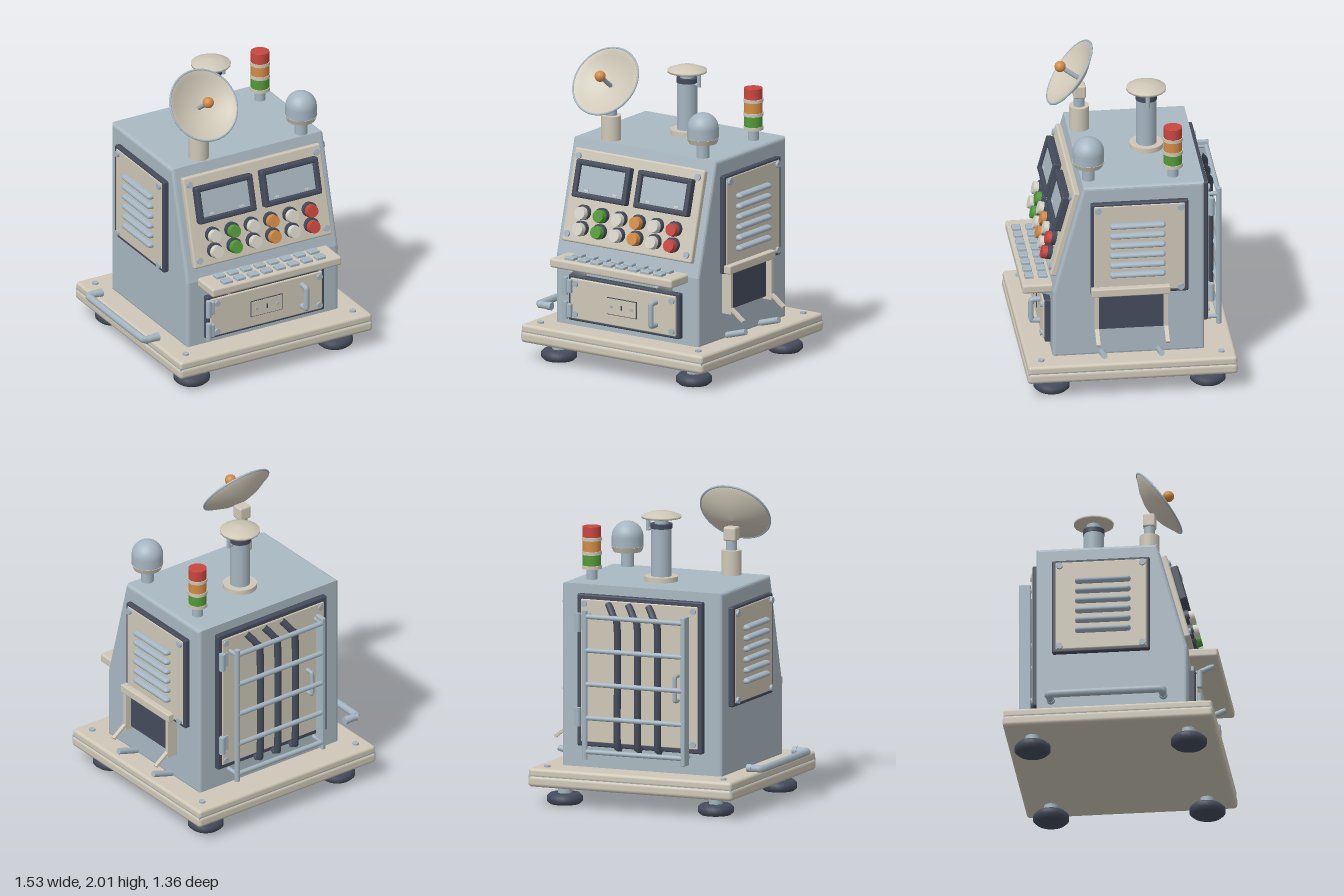
import * as THREE from 'three';
import { RoundedBoxGeometry } from 'three/addons/geometries/RoundedBoxGeometry.js';

const paint = (name, color, side = THREE.FrontSide) => {
  const m = new THREE.MeshStandardMaterial({ color, side });
  m.name = name;
  return m;
};
const V = (x, y, z) => new THREE.Vector3(x, y, z);

export function createModel() {
  const body = paint('blueGrey', 0xaab8c2);
  const steel = paint('steel', 0xa5b5c1);
  const cream = paint('cream', 0xcfc8b8, THREE.DoubleSide);
  const dark = paint('darkSlate', 0x444b5b);
  const white = paint('buttonWhite', 0xd6d3c9);
  const red = paint('red', 0xc9463f);
  const orange = paint('orange', 0xd28b45);
  const green = paint('green', 0x529b38);
  const CX = 0.045;

  const model = new THREE.Group();
  model.name = 'controlMachine';
  const group = (name, x = 0, y = 0, z = 0, parent = model) => {
    const g = new THREE.Group();
    g.name = name;
    g.position.set(x, y, z);
    parent.add(g);
    return g;
  };
  const add = (name, geo, mat, x, y, z, parent) => {
    const m = new THREE.Mesh(geo, mat);
    m.name = name;
    m.position.set(x, y, z);
    parent.add(m);
    return m;
  };
  const box = (name, mat, w, h, d, x, y, z, p = model, r = 0) =>
    add(name, r ? new RoundedBoxGeometry(w, h, d, 2, r) : new THREE.BoxGeometry(w, h, d), mat, x, y, z, p);
  // Cylinder along the given axis
  const cyl = (name, mat, r, h, x, y, z, p = model, axis = 'y', r2 = r, n = 24) => {
    const g = new THREE.CylinderGeometry(r, r2, h, n);
    if (axis === 'z') g.rotateX(Math.PI / 2);
    if (axis === 'x') g.rotateZ(-Math.PI / 2);
    return add(name, g, mat, x, y, z, p);
  };
  // Round bar between two points
  const rod = (name, mat, r, a, b, p = model) => {
    const m = cyl(name, mat, r, a.distanceTo(b), 0, 0, 0, p, 'y', r, 12);
    m.position.copy(a).add(b).multiplyScalar(0.5);
    m.quaternion.setFromUnitVectors(V(0, 1, 0), b.clone().sub(a).normalize());
    return m;
  };
  const tube = (name, mat, r, pts, p = model, tension = 0.1) =>
    add(name, new THREE.TubeGeometry(new THREE.CatmullRomCurve3(pts, false, 'catmullrom', tension), 40, r, 10), mat, 0, 0, 0, p);

  // Base slab, trim, bolts and feet
  const base = group('base');
  box('baseLower', cream, 1.42, 0.075, 1.35, CX, 0.157, 0, base, 0.025);
  box('baseTrim', steel, 1.405, 0.02, 1.335, CX, 0.187, 0, base);
  box('baseUpper', cream, 1.41, 0.06, 1.34, CX, 0.21, 0, base, 0.02);
  for (const sx of [-1, 1]) for (const sz of [-1, 1]) {
    cyl('baseBolt', steel, 0.02, 0.016, CX + sx * 0.613, 0.244, sz * 0.578, base);
    const fx = CX + sx * 0.525, fz = sz * 0.5;
    add('foot', new THREE.LatheGeometry([[0, 0], [0.095, 0], [0.115, 0.018], [0.115, 0.048], [0.095, 0.068], [0, 0.07]]
      .map(([a, b]) => new THREE.Vector2(a, b)), 24), dark, fx, 0, fz, base);
    cyl('footStem', steel, 0.045, 0.06, fx, 0.095, fz, base);
  }

  // Cabinet with sloping upper front
  const side = new THREE.Shape([[-0.475, 0.23], [0.495, 0.23], [0.495, 0.69], [0.3, 1.42], [-0.475, 1.42]]
    .map(([a, b]) => new THREE.Vector2(a, b)));
  const cab = new THREE.ExtrudeGeometry(side, { depth: 1.07, bevelThickness: 0.02, bevelSize: 0.02, bevelOffset: -0.02, bevelSegments: 3 });
  cab.translate(0, 0, -0.535).rotateY(-Math.PI / 2);
  add('cabinet', cab, body, CX, 0, 0, model);

  // Sloping control panel: local z points out of the slope
  const panel = group('controlPanel', CX, 1.07, 0.394);
  panel.rotation.x = -0.261;
  const v = (y, n) => (y - 1.07) / 0.966 - n * 0.267;
  box('panelPlate', cream, 1.01, 0.6, 0.045, 0, v(1.073, 0.02), 0.015, panel, 0.012);
  for (const sx of [-1, 1]) {
    for (const y of [1.32, 0.835]) cyl('panelScrew', steel, 0.021, 0.02, sx * 0.465, v(y, 0.04), 0.04, panel, 'z');
    // Screen with raised frame
    const x = sx * 0.24, y = v(1.19, 0.06);
    for (const k of [-1, 1]) {
      box('screenFrameRail', dark, 0.42, 0.036, 0.055, x, y + k * 0.104, 0.06, panel, 0.012);
      box('screenFramePost', dark, 0.036, 0.24, 0.055, x + k * 0.192, y, 0.06, panel, 0.012);
      box('screenTick', white, 0.03, 0.01, 0.008, x + k * 0.11, y - 0.07, 0.066, panel);
    }
    box('screen', body, 0.36, 0.19, 0.03, x, y, 0.05, panel);
  }
  [white, green, white, orange, white, red].forEach((mat, i) => {
    for (const y of [0.985, 0.885]) {
      const x = -0.355 + i * 0.142;
      cyl('buttonCollar', dark, 0.048, 0.035, x, v(y, 0.05), 0.05, panel, 'z');
      cyl('button', mat, 0.04, 0.04, x, v(y, 0.08), 0.08, panel, 'z', 0.044, 16);
    }
  });

  // Keyboard shelf with braces
  const shelf = group('keyboardShelf');
  box('shelfPlate', cream, 0.95, 0.06, 0.235, CX, 0.68, 0.563, shelf, 0.015);
  for (let i = 0; i < 8; i++) for (const z of [0.537, 0.625])
    box('key', steel, 0.068, 0.024, 0.056, -0.298 + i * 0.098, 0.716, z, shelf, 0.006);
  for (const x of [-0.29, 0.38]) {
    rod('shelfBrace', steel, 0.018, V(x, 0.645, 0.64), V(x, 0.575, 0.48), shelf);
    box('braceFoot', steel, 0.036, 0.08, 0.02, x, 0.605, 0.5, shelf);
  }

  // Lower front door
  const door = group('frontDoor');
  box('doorSeal', dark, 0.865, 0.3, 0.045, CX, 0.43, 0.51, door, 0.01);
  box('doorPlate', cream, 0.82, 0.265, 0.03, CX, 0.43, 0.53, door, 0.008);
  for (const x of [-0.32, 0.43]) for (const y of [0.53, 0.33]) cyl('doorScrew', steel, 0.02, 0.016, x, y, 0.55, door, 'z');
  for (const y of [0.51, 0.35]) {
    box('doorHingeLeaf', steel, 0.05, 0.09, 0.025, -0.37, y, 0.555, door, 0.006);
    cyl('doorHingePin', steel, 0.018, 0.115, -0.39, y, 0.56, door);
  }
  box('lockPlateEdge', dark, 0.232, 0.112, 0.008, 0.042, 0.425, 0.546, door);
  box('lockPlate', cream, 0.222, 0.102, 0.012, 0.042, 0.425, 0.548, door);
  for (const x of [-0.035, 0.12]) cyl('lockScrew', steel, 0.01, 0.01, x, 0.425, 0.557, door, 'z');
  box('keyhole', dark, 0.008, 0.03, 0.006, 0.042, 0.425, 0.555, door);
  tube('doorHandle', steel, 0.018, [V(0.305, 0.355, 0.54), V(0.305, 0.36, 0.6), V(0.305, 0.5, 0.6), V(0.305, 0.505, 0.54)], door);

  // Louvred panels on both sides
  for (const s of [-1, 1]) {
    const g = group(s > 0 ? 'leftLouvrePanel' : 'rightLouvrePanel', CX, 0, 0);
    box('louvreSeal', dark, 0.04, 0.645, 0.625, s * 0.57, 0.995, -0.057, g, 0.01);
    box('louvrePlate', cream, 0.025, 0.61, 0.585, s * 0.582, 0.997, -0.055, g, 0.008);
    for (let i = 0; i < 6; i++) {
      const c = new THREE.CapsuleGeometry(0.019, 0.32, 4, 10).rotateX(Math.PI / 2).scale(1.7, 1, 1);
      add('louvre', c, steel, s * 0.602, 1.163 - i * 0.069, -0.042, g);
    }
    for (const y of [1.275, 0.712]) for (const z of [0.21, -0.32])
      cyl('louvreScrew', steel, 0.021, 0.02, s * 0.6, y, z, g, 'x');
  }

  // Output chute on the left side
  const chute = group('outputChute');
  box('chuteOpening', dark, 0.04, 0.25, 0.43, 0.61, 0.555, -0.005, model);
  box('chuteHeader', cream, 0.08, 0.055, 0.505, 0.64, 0.705, 0.002, chute, 0.008);
  for (const s of [-1, 1]) {
    box('chuteCheek', cream, 0.07, 0.28, 0.024, 0.635, 0.55, s * 0.222, chute);
    const lip = box('chuteLip', cream, 0.115, 0.018, 0.026, 0.713, 0.41, s * 0.222, chute);
    lip.rotation.z = -0.65;
    rod('trayPeg', steel, 0.02, V(0.6, 0.255, s * 0.183), V(0.75, 0.298, s * 0.183), chute);
  }

  // Rear panel, bent pipes and hinged guard
  const rear = group('rearPanel');
  box('rearSeal', dark, 0.87, 0.98, 0.045, CX, 0.87, -0.49, rear, 0.01);
  box('rearPlate', cream, 0.81, 0.92, 0.025, CX, 0.87, -0.508, rear, 0.006);
  for (const x of [-0.33, 0.425]) for (const y of [0.44, 1.3]) cyl('rearScrew', steel, 0.02, 0.02, x, y, -0.52, rear, 'z');
  for (const x of [-0.1, 0.04, 0.18])
    tube('rearPipe', dark, 0.023, [V(x, 0.39, -0.515), V(x, 0.43, -0.558), V(x, 1.15, -0.558), V(x + 0.03, 1.24, -0.555), V(x + 0.08, 1.31, -0.515)], rear, 0.4);
  const guard = group('rearGuard');
  for (let i = 0; i < 5; i++) rod('guardBar', steel, 0.016, V(-0.3, 0.36 + i * 0.218, -0.592), V(0.395, 0.36 + i * 0.218, -0.592), guard);
  rod('guardPost', steel, 0.018, V(0.39, 0.31, -0.592), V(0.39, 1.27, -0.592), guard);
  box('guardPlate', steel, 0.028, 0.96, 0.075, -0.295, 0.79, -0.57, guard, 0.006);
  for (const y of [0.36, 1.232]) for (const x of [-0.29, 0.39])
    rod('guardStandoff', steel, 0.014, V(x, y, -0.5), V(x, y, -0.59), guard);
  for (const y of [1.18, 0.57]) {
    cyl('guardHinge', steel, 0.02, 0.12, 0.465, y, -0.535, guard);
    box('guardHingeLeaf', steel, 0.06, 0.1, 0.02, 0.44, y, -0.52, guard);
  }
  tube('guardHandle', steel, 0.014, [V(-0.225, 0.72, -0.515), V(-0.225, 0.725, -0.57), V(-0.225, 0.875, -0.57), V(-0.225, 0.88, -0.515)], guard);

  // Grab rail beside the base
  tube('grabRail', steel, 0.024, [V(-0.645, 0.29, -0.365), V(-0.72, 0.29, -0.365), V(-0.744, 0.29, -0.335),
    V(-0.744, 0.29, 0.325), V(-0.72, 0.29, 0.355), V(-0.645, 0.29, 0.355)], model, 0.3);
  for (const z of [-0.365, 0.355]) cyl('railEnd', steel, 0.026, 0.03, -0.655, 0.29, z, model, 'x');

  // Dish antenna
  const mast = group('dishAntenna', -0.27, 0, 0.225);
  cyl('dishMast', cream, 0.064, 0.16, 0, 1.5, 0, mast);
  cyl('dishNeck', steel, 0.036, 0.08, 0, 1.61, 0, mast);
  box('dishKnuckle', cream, 0.085, 0.09, 0.08, 0, 1.685, 0, mast, 0.012);
  const dish = group('dish', 0, 1.81, 0.055, mast);
  dish.rotation.x = -0.645;
  const bowl = new THREE.LatheGeometry([[0, -0.075], [0.07, -0.067], [0.14, -0.045], [0.2, -0.015], [0.236, 0.008],
    [0.23, 0.012], [0.195, -0.006], [0.14, -0.033], [0.07, -0.054], [0, -0.062]]
    .map(([a, b]) => new THREE.Vector2(a, b)), 40).rotateX(Math.PI / 2);
  add('dishBowl', bowl, cream, 0, 0, 0, dish);
  add('dishRim', new THREE.TorusGeometry(0.233, 0.007, 8, 40), steel, 0, 0, 0.008, dish);
  cyl('feedArm', steel, 0.015, 0.14, 0, 0, 0.005, dish, 'z');
  add('feedBall', new THREE.SphereGeometry(0.036, 20, 14), orange, 0, 0, 0.083, dish);

  // Exhaust stack with rain cap
  const stack = group('exhaustStack', CX, 0, -0.168);
  cyl('stackFlange', cream, 0.108, 0.035, 0, 1.435, 0, stack);
  cyl('stackPipe', steel, 0.065, 0.33, 0, 1.6, 0, stack);
  cyl('stackBand', dark, 0.07, 0.03, 0, 1.775, 0, stack);
  cyl('stackNeck', steel, 0.045, 0.05, 0, 1.81, 0, stack);
  rod('capStay', steel, 0.014, V(0.092, 1.74, 0), V(0.092, 1.84, 0), stack);
  rod('stayArm', steel, 0.011, V(0.05, 1.752, 0), V(0.092, 1.752, 0), stack);
  add('rainCap', new THREE.LatheGeometry([[0, 1.828], [0.128, 1.828], [0.128, 1.842], [0.07, 1.864], [0, 1.872]]
    .map(([a, b]) => new THREE.Vector2(a, b)), 16), cream, 0, 0, 0, stack);

  // Sensor dome
  const dome = group('sensorDome', 0.465, 0, 0.253);
  cyl('domeStem', steel, 0.041, 0.1, 0, 1.465, 0, dome);
  cyl('domeFlange', cream, 0.105, 0.035, 0, 1.533, 0, dome, 'y', 0.09);
  cyl('domeSkirt', steel, 0.101, 0.065, 0, 1.58, 0, dome, 'y', 0.101, 32);
  add('domeCap', new THREE.SphereGeometry(0.101, 32, 12, 0, Math.PI * 2, 0, Math.PI / 2), steel, 0, 1.612, 0, dome);

  // Signal lamp tower
  const lamps = group('signalTower', 0.475, 0, -0.288);
  cyl('towerStem', steel, 0.035, 0.09, 0, 1.455, 0, lamps);
  [green, orange, red].forEach((mat, i) => {
    cyl('lampSeat', cream, 0.064, 0.022, 0, 1.5 + i * 0.091, 0, lamps);
    cyl('lamp', mat, 0.059, 0.07, 0, 1.545 + i * 0.091, 0, lamps);
  });
  cyl('lampTop', red, 0.052, 0.014, 0, 1.757, 0, lamps, 'y', 0.059);

  return model;
}
